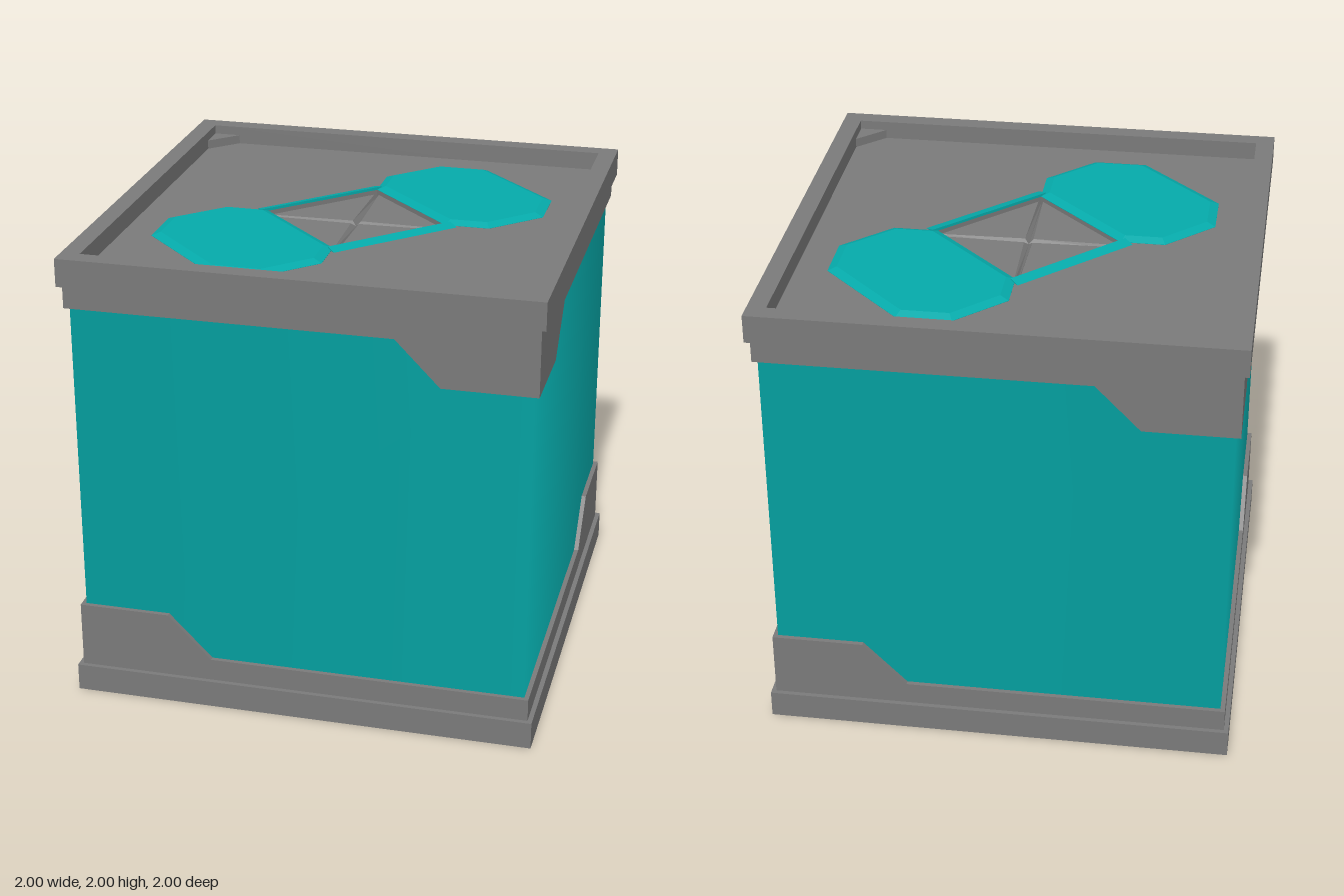
import * as THREE from 'three';

const gray = new THREE.MeshStandardMaterial({ color: 0x7a7a7a });
gray.name = 'gray casing';
const teal = new THREE.MeshStandardMaterial({ color: 0x05aaaa });
teal.name = 'teal panel';

function add(parent, name, geometry, material) {
  const mesh = new THREE.Mesh(geometry, material);
  mesh.name = name;
  parent.add(mesh);
  return mesh;
}

const square = (r) => [[-r, -r], [r, -r], [r, r], [-r, r]];
const diamond = (r) => [[0, -r], [r, 0], [0, r], [-r, 0]];

// Horizontal slab from an outline of [x, z] points, between heights y0 and y1;
// the hole runs the opposite way round so that its walls face inward
function slab(points, y0, y1, hole, bevel) {
  const toVectors = (list) => list.map(([x, z]) => new THREE.Vector2(x, -z));
  const shape = new THREE.Shape(toVectors(points));
  if (hole) shape.holes.push(new THREE.Path(toVectors(hole).reverse()));
  const geometry = new THREE.ExtrudeGeometry(shape, { depth: y1 - y0, bevelEnabled: false, ...bevel });
  geometry.rotateX(-Math.PI / 2);
  return geometry.translate(0, y0, 0);
}

// Bevel that slopes inward from the outline
const chamfer = (width, height) => ({
  bevelEnabled: true, bevelSegments: 1, bevelSize: width, bevelOffset: -width, bevelThickness: height,
});

// Upright plate lying just outside the body, facing +z
function upright(points) {
  const shape = new THREE.Shape(points.map(([x, y]) => new THREE.Vector2(x, y)));
  return new THREE.ExtrudeGeometry(shape, { depth: 0.025, bevelEnabled: false }).translate(0, 0, 0.955);
}

// End cap: rim, collar, corner guards and corner gussets, measured from mid height
function makeCap(name, floorHole) {
  const cap = new THREE.Group();
  cap.name = name;
  add(cap, 'rim', slab(square(1), 0.88, 1, square(0.92)), gray);
  add(cap, 'collar', slab(square(0.98), 0.782, 0.88), gray);
  add(cap, 'recessedFloor', slab(square(0.92), 0.88, 0.92, floorHole), gray);

  const guard = [[0.395, 0.784], [0.585, 0.59], [0.98, 0.59], [0.98, 0.784]];
  const mirrored = guard.map(([x, y]) => [-x, y]);
  for (const turn of [0, Math.PI]) {
    const corner = new THREE.Group();
    corner.name = 'cornerGuard';
    corner.rotation.y = turn;
    add(corner, 'guardFrontPlate', upright(guard), gray);
    add(corner, 'guardSidePlate', upright(mirrored).rotateY(Math.PI / 2), gray);
    add(corner, 'cornerGusset', slab([[0.92, 0.92], [0.92, 0.8], [0.8, 0.92]], 0.92, 0.96), gray);
    cap.add(corner);
  }
  return cap;
}

// Raised handle on the lid: two bevelled octagons joined by low sloping strips
function makeHandle() {
  const handle = new THREE.Group();
  handle.name = 'lidHandle';
  const octagon = [[0.2, -0.785], [0.43, -0.785], [0.785, -0.43], [0.785, -0.2],
    [0.585, 0], [0.395, 0], [0, -0.395], [0, -0.585]];
  const profile = new THREE.Shape([[-0.025, 0], [0.025, 0], [-0.025, 0.012]]
    .map(([x, y]) => new THREE.Vector2(x, y)));
  const strip = new THREE.ExtrudeGeometry(profile, { depth: 0.61, bevelEnabled: false })
    .translate(0.304, 0.92, -0.305).rotateY(-Math.PI / 4);

  for (const turn of [0, Math.PI]) {
    const half = new THREE.Group();
    half.name = 'handleHalf';
    half.rotation.y = turn;
    add(half, 'octagonPad', slab(octagon, 0.919, 0.921, null, chamfer(0.037, 0.015)), teal);
    add(half, 'slopedStrip', strip, teal);
    handle.add(half);
  }

  // Four triangular panels in the diamond pit, bevelled to leave crossing grooves
  for (let i = 0; i < 4; i++) {
    const panel = slab([[0, 0], [0.44, 0], [0, 0.44]], 0.88, 0.882, null, chamfer(0.018, 0.018));
    add(handle, 'pitPanel', panel.rotateY(i * Math.PI / 2), gray);
  }
  return handle;
}

export function createModel() {
  const model = new THREE.Group();
  model.name = 'crate';

  // Square body with normals blended softly around the corners
  const r = 0.96 * Math.SQRT2;
  const body = add(model, 'body', new THREE.CylinderGeometry(r, r, 1.6, 4, 1, true, Math.PI / 4), teal);
  body.position.y = 1;

  const top = makeCap('topCap', diamond(0.395));
  top.add(makeHandle());
  const bottom = makeCap('bottomCap');
  bottom.rotation.x = Math.PI;
  for (const cap of [top, bottom]) {
    cap.position.y = 1;
    model.add(cap);
  }
  return model;
}
